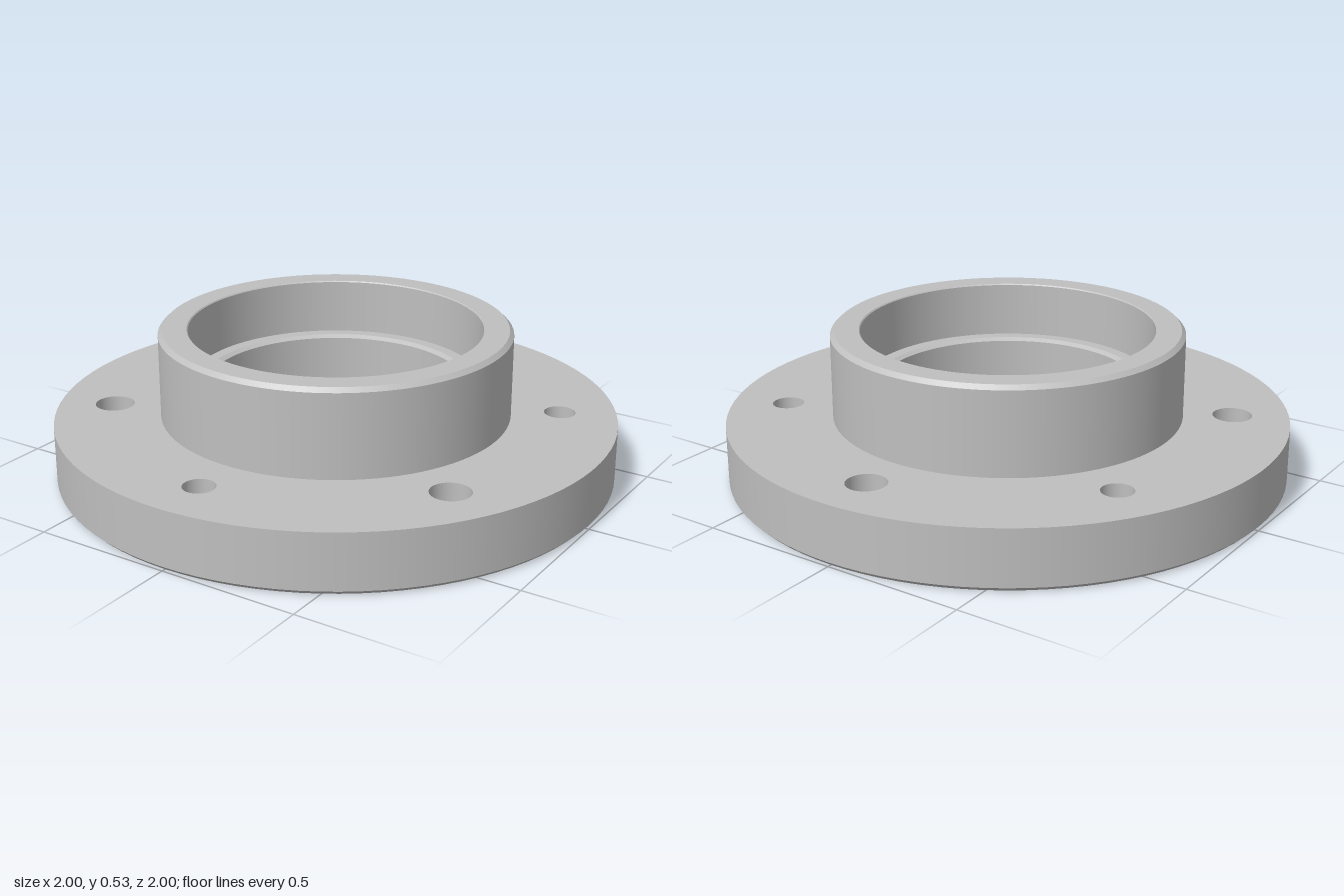
import * as THREE from 'three';
import { mergeGeometries } from 'three/addons/utils/BufferGeometryUtils.js';

const SEGMENTS = 96;
const THICKNESS = 0.215; // flange height
const steel = new THREE.MeshStandardMaterial({ color: 0xbfbfbf });
steel.name = 'grey steel';

// Revolve a profile, one lathe per segment so that every corner stays sharp
function revolve(name, profile) {
  const bands = [];
  for (let i = 0; i + 1 < profile.length; i++) {
    const pair = [profile[i], profile[i + 1]].map(([r, y]) => new THREE.Vector2(r, y));
    bands.push(new THREE.LatheGeometry(pair, SEGMENTS));
  }
  const mesh = new THREE.Mesh(mergeGeometries(bands), steel);
  mesh.name = name;
  return mesh;
}

// Six bolt holes, alternating wide counterbored and narrow countersunk
const bolts = Array.from({ length: 6 }, (_, i) => {
  const a = i * Math.PI / 3;
  return { x: 0.8 * Math.sin(a), z: -0.8 * Math.cos(a), wide: i % 2 === 0 };
});

// Flat ring pierced by the bolt holes, facing up (side = 1) or down (side = -1)
function ringFace(name, y, inner, outer, wideR, narrowR, side) {
  const shape = new THREE.Shape().absarc(0, 0, outer, 0, Math.PI * 2);
  const cut = (x, z, r) => shape.holes.push(new THREE.Path().absarc(x, -side * z, r, 0, Math.PI * 2, true));
  cut(0, 0, inner);
  bolts.forEach(b => cut(b.x, b.z, b.wide ? wideR : narrowR));
  const geometry = new THREE.ShapeGeometry(shape, SEGMENTS / 2);
  geometry.rotateX(-side * Math.PI / 2).translate(0, y, 0);
  const mesh = new THREE.Mesh(geometry, steel);
  mesh.name = name;
  return mesh;
}

export function createModel() {
  const model = new THREE.Group();
  model.name = 'flangedHub';

  // Flange: chamfered rim and the two pierced faces
  model.add(revolve('flangeRim', [[0.985, 0], [1, 0.015], [1, THICKNESS]]));
  model.add(ringFace('flangeTop', THICKNESS, 0.625, 1, 0.07, 0.056, 1));
  model.add(ringFace('flangeBottom', 0, 0.628, 0.985, 0.117, 0.083, -1));

  // Raised hub with chamfered edges
  model.add(revolve('hub', [
    [0.625, THICKNESS], [0.625, 0.515], [0.61, 0.53], [0.524, 0.53], [0.52, 0.526],
  ]));

  // Stepped bore running down through the hub
  model.add(revolve('bore', [
    [0.52, 0.526], [0.52, 0.33], [0.477, 0.33], [0.46, 0.32], [0.46, 0.14], [0.378, 0.14], [0.378, 0.03],
  ]));

  // Shallow round recess underneath
  model.add(revolve('bottomRecess', [[0.378, 0.03], [0.628, 0.03], [0.628, 0]]));

  // Bolt hole walls
  for (const b of bolts) {
    const hole = b.wide
      ? revolve('counterboredHole', [[0.07, THICKNESS], [0.07, 0.14], [0.117, 0.14], [0.117, 0]])
      : revolve('countersunkHole', [[0.056, THICKNESS], [0.056, 0.027], [0.083, 0]]);
    hole.position.set(b.x, 0, b.z);
    model.add(hole);
  }
  return model;
}
